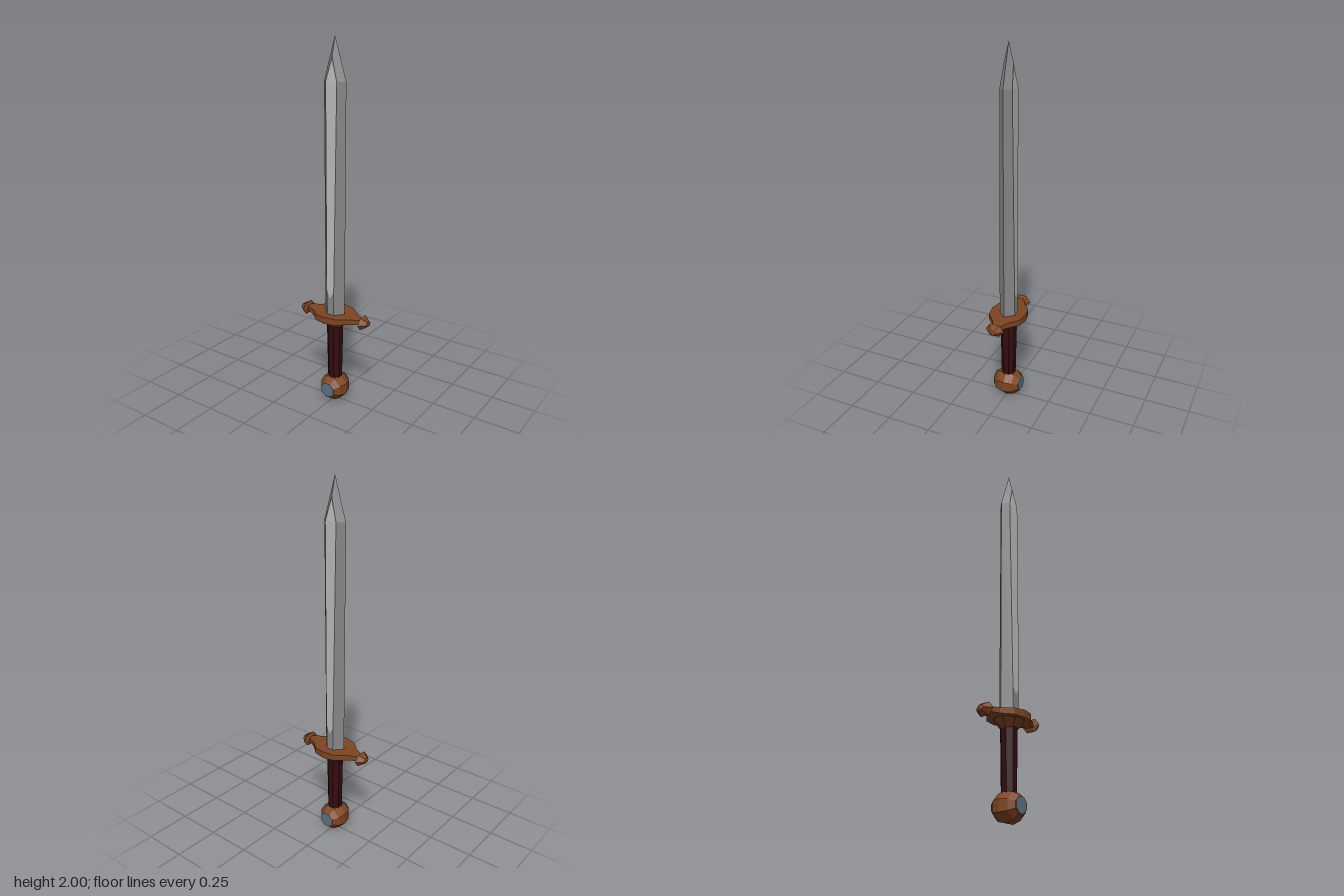
import * as THREE from 'three';

const mat = (name, color) => {
  const m = new THREE.MeshStandardMaterial({ color });
  m.name = name;
  m.flatShading = true;
  return m;
};

// Closed solid through rings of [x, y, z] corners, counter-clockwise seen from below
function loft(rings) {
  const n = rings[0].length, pos = [];
  const tri = (a, b, c) => pos.push(...a, ...b, ...c);
  for (let k = 0; k < rings.length - 1; k++) {
    for (let i = 0; i < n; i++) {
      const j = (i + 1) % n, a = rings[k], b = rings[k + 1];
      tri(a[i], b[i], b[j]);
      tri(a[i], b[j], a[j]);
    }
  }
  const lo = rings[0], hi = rings[rings.length - 1];
  for (let i = 1; i < n - 1; i++) {
    tri(lo[0], lo[i], lo[i + 1]);
    tri(hi[0], hi[i + 1], hi[i]);
  }
  const g = new THREE.BufferGeometry();
  g.setAttribute('position', new THREE.Float32BufferAttribute(pos, 3));
  g.computeVertexNormals();
  return g;
}

export function createModel() {
  const group = new THREE.Group();
  const steel = mat('steel', 0x868686);
  const brightSteel = mat('brightSteel', 0xbababa);
  const bronze = mat('bronze', 0x7e4522);
  const leather = mat('darkRedLeather', 0x330d0f);
  const gemBlue = mat('greyBlueGem', 0x5f7080);
  const add = (name, geometry, material) => {
    const mesh = new THREE.Mesh(geometry, material);
    mesh.name = name;
    group.add(mesh);
    return mesh;
  };

  // Blade: six-sided section; w = half width, f = half flat, t = half thickness
  const section = (y, w, f, t) =>
    [[w, y, 0], [f, y, t], [-f, y, t], [-w, y, 0], [-f, y, -t], [f, y, -t]].reverse();
  add('blade', loft([
    section(2.0, 0, 0, 0),
    section(1.9, 0.03, 0, 0.025),
    section(1.78, 0.067, 0.033, 0.034),
    section(0.52, 0.063, 0.02, 0.046),
  ].reverse().map((r) => r.reverse())), steel);

  // Bright inlaid panel on both faces, following the blade's taper
  const panel = new THREE.Shape([
    [0, 0.63], [0.023, 0.67], [0.032, 1.78], [0, 1.88], [-0.032, 1.78], [-0.023, 0.67],
  ].map(([x, y]) => new THREE.Vector2(x, y)));
  for (const side of [1, -1]) {
    const g = new THREE.ShapeGeometry(panel);
    const p = g.attributes.position;
    for (let i = 0; i < p.count; i++) {
      const y = p.getY(i);
      const t = y > 1.78 ? 0.034 - (y - 1.78) * 0.075 : 0.046 - (y - 0.52) * 0.0095;
      p.setZ(i, t + 0.002);
    }
    if (side < 0) g.rotateY(Math.PI);
    g.computeVertexNormals();
    add(side > 0 ? 'frontPanel' : 'backPanel', g, brightSteel);
  }

  // Guard: leaf-shaped plate, thinner towards the arm ends
  const half = [[0.18, 0.014], [0.12, 0.043], [0.065, 0.09], [0, 0.102], [-0.065, 0.09], [-0.12, 0.043], [-0.18, 0.014]];
  const outline = [...half, ...half.map(([x, z]) => [-x, -z])];
  const guard = new THREE.ExtrudeGeometry(
    new THREE.Shape(outline.map(([x, z]) => new THREE.Vector2(x, z))),
    { depth: 0.038, bevelEnabled: false });
  guard.rotateX(-Math.PI / 2).translate(0, 0.5, 0);
  const gp = guard.attributes.position;
  for (let i = 0; i < gp.count; i++) {
    const k = 1 - 0.35 * Math.abs(gp.getX(i)) / 0.18;
    gp.setY(i, 0.517 + (gp.getY(i) - 0.517) * k);
  }
  guard.computeVertexNormals();
  add('guard', guard, bronze);

  // Collar under the guard
  const collar = new THREE.CylinderGeometry(0.09, 0.046, 0.048, 8);
  collar.rotateY(Math.PI / 8).scale(1, 1, 0.85).translate(0, 0.478, 0);
  add('collar', collar, bronze);

  // Pointed knobs on the arm ends
  for (const side of [1, -1]) {
    const g = new THREE.LatheGeometry(
      [[0, 0], [0.016, 0], [0.054, 0.01], [0.022, 0.045], [0, 0.05]].map(([r, h]) => new THREE.Vector2(r, h)), 6);
    g.rotateZ(-Math.PI / 2).scale(1, 0.72, 1).translate(0.17, 0.516, 0);
    if (side < 0) g.rotateY(Math.PI);
    add(side > 0 ? 'leftKnob' : 'rightKnob', g, bronze);
  }

  // Grip
  const grip = new THREE.CylinderGeometry(0.046, 0.04, 0.34, 8);
  grip.rotateY(Math.PI / 8).translate(0, 0.305, 0);
  add('grip', grip, leather);

  // Pommel: faceted ball with a flat at front and back
  const pommel = new THREE.LatheGeometry(
    [[0, -0.074], [0.044, -0.074], [0.07, -0.045], [0.082, 0], [0.07, 0.045], [0.044, 0.074], [0, 0.074]]
      .map(([r, h]) => new THREE.Vector2(r, h)), 8);
  pommel.rotateX(Math.PI / 2).rotateZ(Math.PI / 8).translate(0, 0.077, 0);
  add('pommel', pommel, bronze);

  // Gems set in the pommel flats
  for (const side of [1, -1]) {
    const g = new THREE.CylinderGeometry(0.042, 0.042, 0.006, 8);
    g.rotateX(Math.PI / 2).rotateZ(Math.PI / 8).translate(0, 0.08, side * 0.075);
    add(side > 0 ? 'frontGem' : 'backGem', g, gemBlue);
  }
  return group;
}
